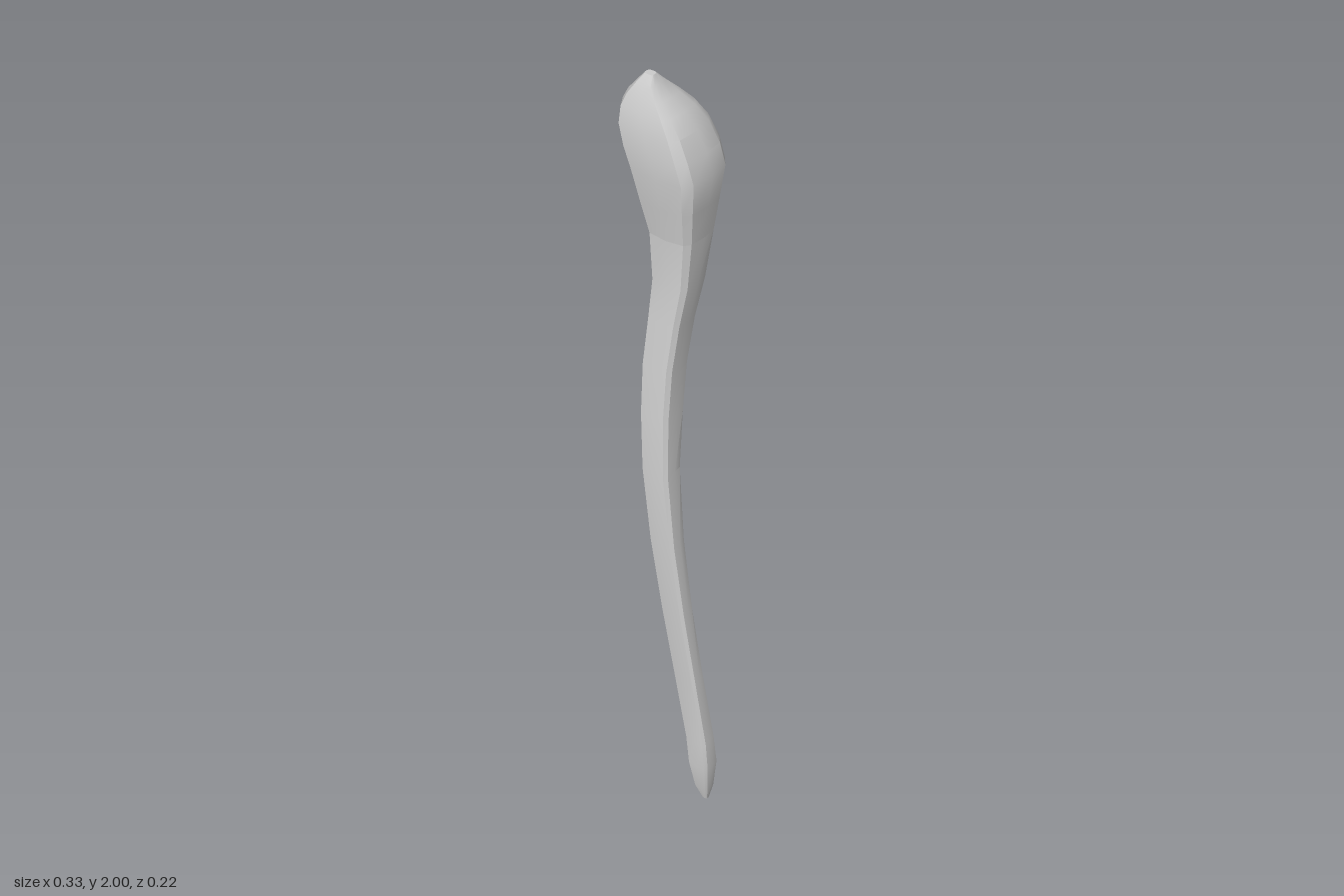
import * as THREE from 'three';
import { toCreasedNormals } from 'three/addons/utils/BufferGeometryUtils.js';

// Slightly turned, chamfered square section with bulging sides, in a -1..1 box (x, z)
const SECTION = [
  [-0.88, 0.62], [-0.5, 1], [0.28, 0.88], [0.88, 0.62], [1, 0.35], [0.88, -0.28],
  [0.68, -0.8], [0.4, -1], [-0.3, -0.88], [-0.9, -0.6], [-1, -0.3], [-0.98, 0.2],
];

// Rings along the stick: y, xMin, xMax, zMin, zMax
const SHAFT = [
  [0, 0.135, 0.15, 0.03, 0.045],
  [0.04, 0.112, 0.158, 0.016, 0.058],
  [0.12, 0.096, 0.164, 0.006, 0.07],
  [0.2, 0.083, 0.157, 0.01, 0.07],
  [0.4, 0.05, 0.13, 0.025, 0.083],
  [0.6, 0.017, 0.1, 0.035, 0.096],
  [0.8, -0.014, 0.071, 0.037, 0.106],
  [1, -0.041, 0.045, 0.028, 0.108],
  [1.15, -0.056, 0.033, 0.008, 0.1],
  [1.28, -0.066, 0.029, -0.008, 0.087],
  [1.4, -0.066, 0.034, -0.028, 0.071],
  [1.5, -0.069, 0.043, -0.052, 0.058],
  [1.62, -0.08, 0.05, -0.075, 0.06],
];
const HEAD = [
  [1.62, -0.08, 0.05, -0.075, 0.06],
  [1.7, -0.105, 0.057, -0.093, 0.073],
  [1.78, -0.128, 0.065, -0.109, 0.086],
  [1.83, -0.148, 0.049, -0.106, 0.091],
  [1.88, -0.163, 0.028, -0.09, 0.091],
  [1.92, -0.155, 0, -0.064, 0.084],
  [1.95, -0.135, -0.028, -0.034, 0.073],
  [1.98, -0.106, -0.052, 0, 0.058],
  [2, -0.09, -0.064, 0.02, 0.042],
];

// Skin the rings; close the first or the last one with a fan
function loft(rings, capStart, capEnd) {
  const n = SECTION.length, pos = [], idx = [];
  for (const [y, x0, x1, z0, z1] of rings) {
    for (const [u, v] of SECTION) {
      pos.push((x0 + x1) / 2 + u * (x1 - x0) / 2, y, (z0 + z1) / 2 + v * (z1 - z0) / 2);
    }
  }
  for (let r = 0; r < rings.length - 1; r++) {
    for (let i = 0; i < n; i++) {
      const a = r * n + i, b = r * n + (i + 1) % n;
      idx.push(a, b, b + n, a, b + n, a + n);
    }
  }
  const last = (rings.length - 1) * n;
  for (let i = 1; i < n - 1; i++) {
    if (capStart) idx.push(0, i + 1, i);
    if (capEnd) idx.push(last, last + i, last + i + 1);
  }
  const geo = new THREE.BufferGeometry();
  geo.setAttribute('position', new THREE.Float32BufferAttribute(pos, 3));
  geo.setIndex(idx);
  return toCreasedNormals(geo, THREE.MathUtils.degToRad(32));
}

export function createModel() {
  const group = new THREE.Group();
  group.name = 'knobbedStick';
  const material = new THREE.MeshStandardMaterial({ color: 0xcccccc });

  // Curved shaft with a blunt pointed foot
  const shaft = new THREE.Mesh(loft(SHAFT, true, false), material);
  shaft.name = 'shaft';

  // Swollen, lopsided knob
  const head = new THREE.Mesh(loft(HEAD, false, true), material);
  head.name = 'head';

  group.add(shaft, head);
  return group;
}
